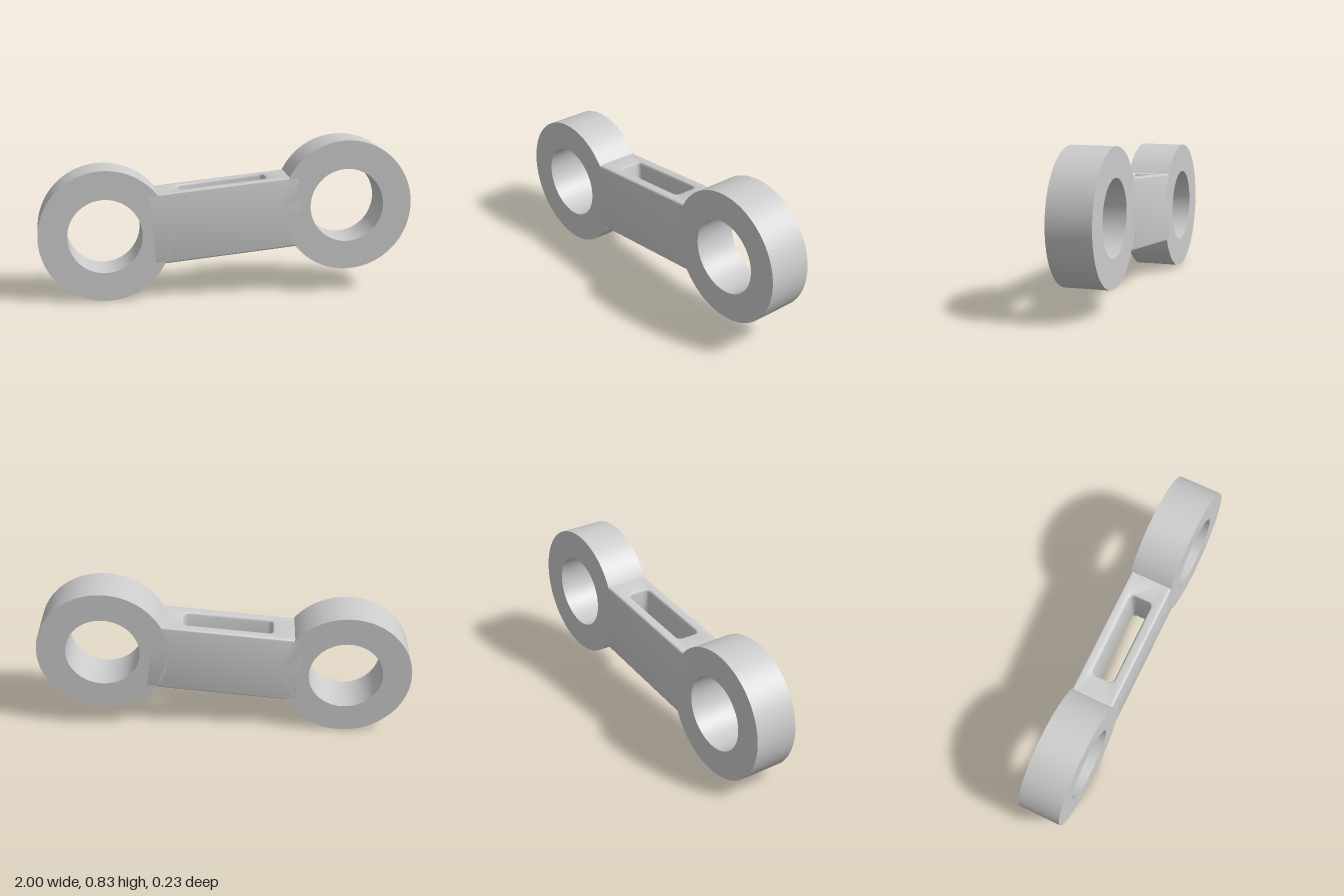
import * as THREE from 'three';
import { toCreasedNormals } from 'three/addons/utils/BufferGeometryUtils.js';

const HALF_DEPTH = 0.117;
const OUTER_R = 0.352, BORE_R = 0.198;
const EYE_X = 0.648, LOW_Y = 0.352, HIGH_Y = 0.482;

function roundedRect(target, halfW, halfH, r) {
  const corners = [[1, -1, -Math.PI / 2], [1, 1, 0], [-1, 1, Math.PI / 2], [-1, -1, Math.PI]];
  for (const [sx, sy, start] of corners) {
    target.absarc(sx * (halfW - r), sy * (halfH - r), r, start, start + Math.PI / 2, false);
  }
  target.closePath();
  return target;
}

function extrudeCentred(shape, depth, options = {}) {
  const geometry = new THREE.ExtrudeGeometry(shape, { depth, bevelEnabled: false, ...options });
  geometry.translate(0, 0, -depth / 2);
  return toCreasedNormals(geometry, 0.6);
}

export function createModel() {
  const group = new THREE.Group();
  group.name = 'linkArm';
  const material = new THREE.MeshStandardMaterial({ color: 0xcccccc });

  // Bored eyes at both ends
  const ring = new THREE.Shape().absarc(0, 0, OUTER_R, 0, Math.PI * 2, false);
  ring.holes.push(new THREE.Path().absarc(0, 0, BORE_R, 0, Math.PI * 2, true));
  const ringGeometry = extrudeCentred(ring, HALF_DEPTH * 2, { curveSegments: 48 });
  for (const [name, x, y] of [['rightEye', -EYE_X, LOW_Y], ['leftEye', EYE_X, HIGH_Y]]) {
    const eye = new THREE.Mesh(ringGeometry, material);
    eye.name = name;
    eye.position.set(x, y, 0);
    group.add(eye);
  }

  // Tilted bar with softened edges and a rounded slot running through its height
  const bevel = 0.01, halfHeight = 0.19;
  const halfLength = 0.4;
  const plan = new THREE.Shape([
    new THREE.Vector2(-halfLength, -HALF_DEPTH), new THREE.Vector2(halfLength, -HALF_DEPTH),
    new THREE.Vector2(halfLength, HALF_DEPTH), new THREE.Vector2(-halfLength, HALF_DEPTH),
  ]);
  plan.holes.push(roundedRect(new THREE.Path(), 0.238, 0.062, 0.025));
  const barGeometry = extrudeCentred(plan, 2 * (halfHeight - bevel), {
    bevelEnabled: true, bevelThickness: bevel, bevelSize: bevel, bevelOffset: -bevel,
    bevelSegments: 3, curveSegments: 6,
  });
  barGeometry.rotateX(-Math.PI / 2);
  const bar = new THREE.Mesh(barGeometry, material);
  bar.name = 'slottedBar';
  bar.position.y = (LOW_Y + HIGH_Y) / 2;
  bar.rotation.z = Math.atan2(HIGH_Y - LOW_Y, 2 * EYE_X);
  group.add(bar);

  return group;
}
